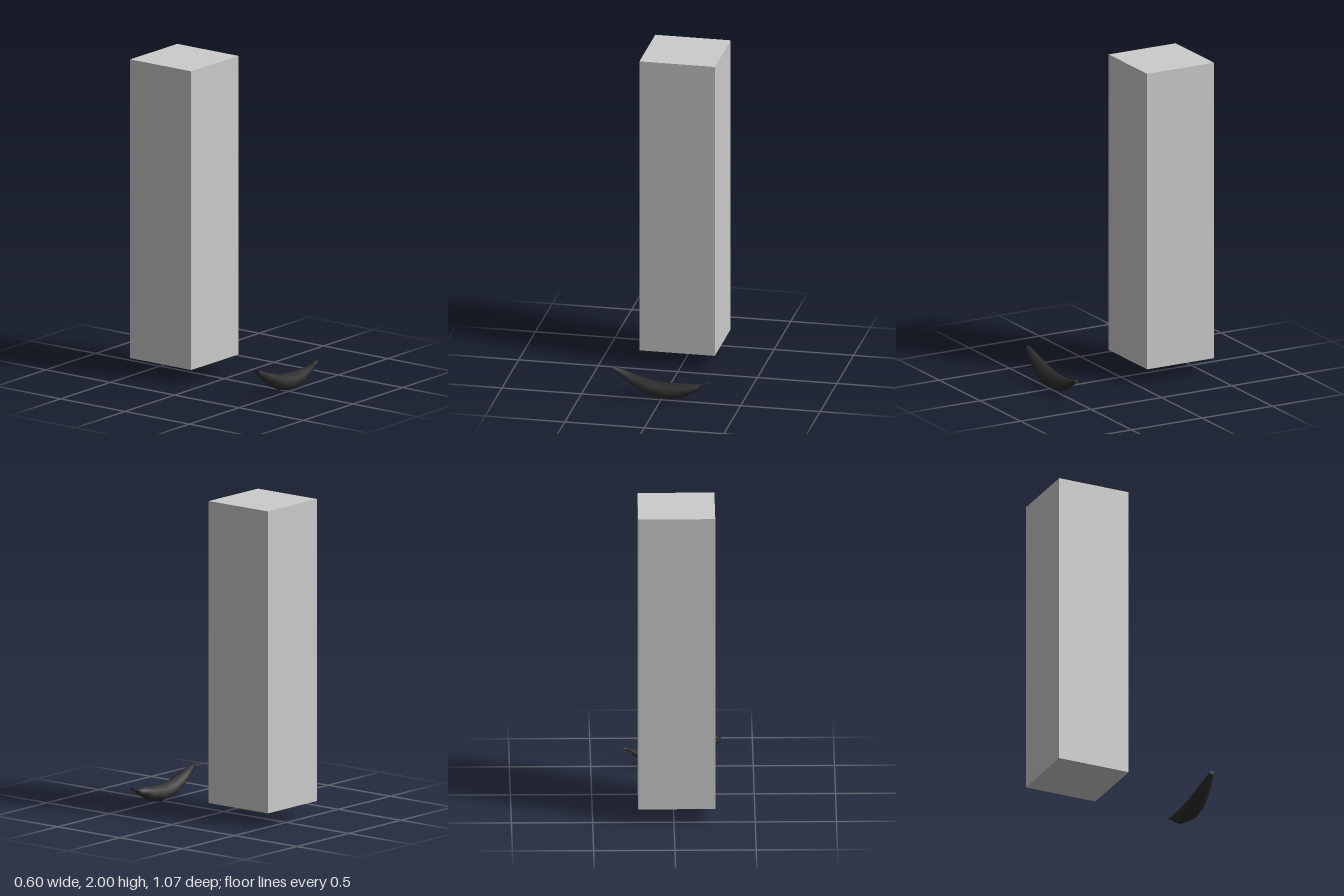
import * as THREE from 'three';
import { toCreasedNormals } from 'three/addons/utils/BufferGeometryUtils.js';

// Cross-sections along the fruit: top x, top y, bottom x, bottom y, half width
const SECTIONS = [
  [-0.3, 0.2, -0.3, 0.167, 0.014],
  [-0.18, 0.157, -0.205, 0.09, 0.035],
  [-0.075, 0.125, -0.09, 0.027, 0.047],
  [0.025, 0.114, 0.025, 0.002, 0.048],
  [0.125, 0.114, 0.135, 0.023, 0.042],
  [0.225, 0.118, 0.235, 0.075, 0.025],
  [0.255, 0.122, 0.26, 0.104, 0.013],
  [0.297, 0.137, 0.3, 0.117, 0.01],
];

// Lofts six-sided rings through the sections and caps both ends
function bananaGeometry() {
  const sides = 6;
  const positions = [];
  const index = [];
  for (const [tx, ty, bx, by, halfWidth] of SECTIONS) {
    for (let k = 0; k < sides; k++) {
      const angle = (k / sides) * Math.PI * 2;
      const t = (1 - Math.cos(angle)) / 2;
      const z = halfWidth * Math.sin(angle) / Math.sin(Math.PI / 3);
      positions.push(tx + (bx - tx) * t, ty + (by - ty) * t, z);
    }
  }
  const last = (SECTIONS.length - 1) * sides;
  for (let i = 0; i < last; i += sides) {
    for (let k = 0; k < sides; k++) {
      const a = i + k;
      const b = i + (k + 1) % sides;
      index.push(a, b, a + sides, b, b + sides, a + sides);
    }
  }
  for (let k = 1; k < sides - 1; k++) {
    index.push(0, k + 1, k, last, last + k, last + k + 1);
  }
  const geometry = new THREE.BufferGeometry();
  geometry.setAttribute('position', new THREE.Float32BufferAttribute(positions, 3));
  geometry.setIndex(index);
  return toCreasedNormals(geometry, 1.2);
}

export function createModel() {
  const group = new THREE.Group();

  // Tall square block
  const block = new THREE.Mesh(
    new THREE.BoxGeometry(0.474, 1.9, 0.474),
    new THREE.MeshStandardMaterial({ color: 0xcccccc })
  );
  block.name = 'block';
  block.position.set(-0.017, 1.05, -0.298);
  group.add(block);

  // Dark curved fruit in front of the block
  const banana = new THREE.Mesh(
    bananaGeometry(),
    new THREE.MeshStandardMaterial({ color: 0x2b2b2b })
  );
  banana.name = 'banana';
  banana.position.z = 0.486;
  group.add(banana);

  return group;
}
